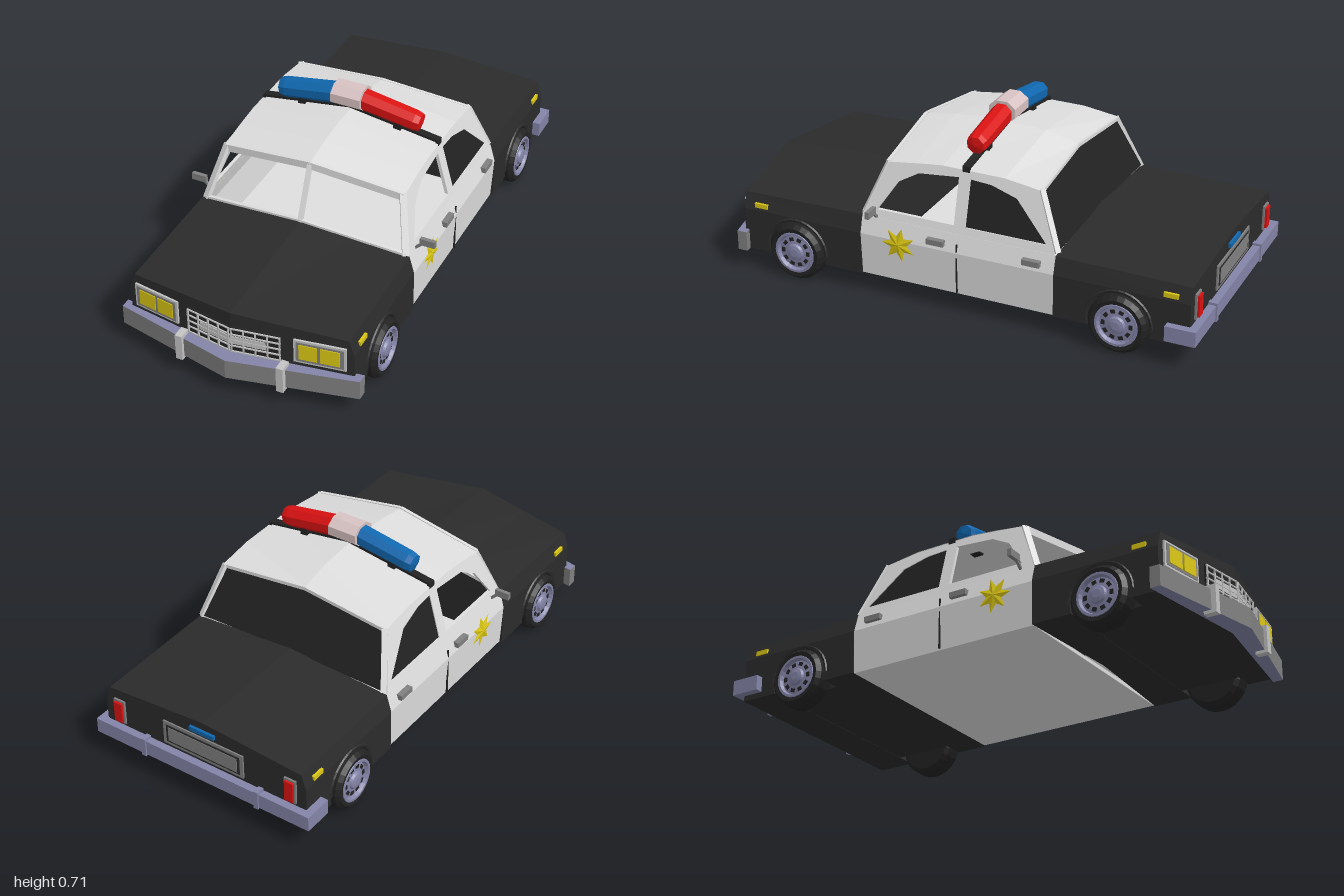
import * as THREE from 'three';

const mat = (name, color, side = THREE.FrontSide) => {
  const m = new THREE.MeshStandardMaterial({ color, side });
  m.name = name;
  return m;
};

export function createModel() {
  const car = new THREE.Group();
  car.name = 'patrolCar';
  const black = mat('black paint', 0x2b2b2b);
  const white = mat('white paint', 0xdedede, THREE.DoubleSide);
  const dark = mat('dark glass and rubber', 0x222222, THREE.DoubleSide);
  const chrome = mat('chrome', 0xc4c4c4);
  const gray = mat('gray metal', 0x808080);
  const steel = mat('blue steel', 0x8484a8);
  const yellow = mat('yellow', 0xdcc814);
  const red = mat('red', 0xdc1212);
  const blue = mat('blue', 0x1068b0);
  const pink = mat('pale lamp', 0xd8c2c2);

  const add = (name, geo, material, parent = car) => {
    const g = geo.index ? geo.toNonIndexed() : geo;
    g.computeVertexNormals(); // faceted look
    const m = new THREE.Mesh(g, material);
    m.name = name;
    parent.add(m);
    return m;
  };
  const box = (name, w, h, d, x, y, z, material, parent) => {
    const m = add(name, new THREE.BoxGeometry(w, h, d), material, parent);
    m.position.set(x, y, z);
    return m;
  };
  const bar = (name, a, b, w, h, material) => {
    const p = new THREE.Vector3(...a), q = new THREE.Vector3(...b);
    const m = add(name, new THREE.BoxGeometry(w, h, p.distanceTo(q)), material);
    m.position.copy(p).lerp(q, 0.5);
    m.lookAt(q);
    return m;
  };
  const warp = (geo, rule) => {
    const p = geo.attributes.position, v = new THREE.Vector3();
    for (let i = 0; i < p.count; i++) {
      rule(v.fromBufferAttribute(p, i));
      p.setXYZ(i, v.x, v.y, v.z);
    }
    return geo;
  };
  const poly = pts => new THREE.Shape(pts.map(p => new THREE.Vector2(...p)));
  // Side profile (z, y) stretched across x
  const across = (shape, width, steps = 1) =>
    new THREE.ExtrudeGeometry(shape, { depth: width, steps, bevelEnabled: false, curveSegments: 12 })
      .translate(0, 0, -width / 2).rotateY(-Math.PI / 2);
  // Surface through rows of points, front to rear
  const surface = rows => {
    const n = rows[0].length, idx = [];
    for (let r = 0; r < rows.length - 1; r++) for (let c = 0; c < n - 1; c++) {
      const a = r * n + c;
      idx.push(a, a + 1, a + n, a + 1, a + n + 1, a + n);
    }
    const g = new THREE.BufferGeometry();
    g.setAttribute('position', new THREE.Float32BufferAttribute(rows.flat(2), 3));
    g.setIndex(idx);
    return g;
  };

  // Black front and rear bodywork with pointed nose and crowned top
  const bodyRule = v => {
    const t = Math.abs(v.x) / 0.45, nose = v.z > 0.8;
    if (v.y > 0.26) {
      v.y += (nose ? 0.025 : v.z > 0 ? 0.045 : 0.03) * (1 - t);
      v.x *= 0.955;
    }
    if (nose) v.z += 0.07 * (1 - t);
    else if (v.z > 0.3 && v.z < 0.4) v.z += 0.03 * (1 - t);
  };
  const axles = [0.64, -0.685];
  [['front', 0.36, 0.87, 0.32, 0.312], ['rear', -0.955, -0.43, 0.31, 0.318]].forEach(([name, z0, z1, y0, y1], i) => {
    const zc = axles[i];
    const lower = new THREE.Shape();
    lower.moveTo(z0, 0.08);
    lower.lineTo(zc - 0.12, 0.08);
    lower.absarc(zc, 0.115, 0.125, Math.PI + 0.28, -0.28, true);
    lower.lineTo(z1, 0.08);
    lower.lineTo(z1, 0.25);
    lower.lineTo(z0, 0.25);
    add(name + 'Fenders', warp(across(lower, 0.9, 4), bodyRule), black);
    const upper = poly([[z0, 0.25], [z1, 0.25], [z1, y1], [z0, y0]]);
    add(name + 'Deck', warp(across(upper, 0.9, 4), bodyRule), black);
    box(name + 'WheelWell', 0.74, 0.165, 0.27, 0, 0.1635, zc, black);
  });

  // White door section, an open tub
  const half = [[0.44, 0.08], [0.45, 0.25], [0.43, 0.32], [0.415, 0.32], [0.435, 0.25], [0.425, 0.095]];
  const tub = poly([...half, ...half.map(([x, y]) => [-x, y]).reverse()]);
  add('doorTub', new THREE.ExtrudeGeometry(tub, { depth: 0.79, bevelEnabled: false }).translate(0, 0, -0.43), white);

  // Cabin sides with window openings
  const sideFrame = poly([[0.36, 0.31], [0.275, 0.53], [0.05, 0.557], [-0.2, 0.555], [-0.34, 0.535], [-0.43, 0.31]]);
  const frontWindow = [[0.3, 0.35], [0.225, 0.465], [0.145, 0.51], [-0.018, 0.525], [-0.018, 0.35]];
  const rearWindow = [[-0.065, 0.35], [-0.065, 0.525], [-0.15, 0.52], [-0.255, 0.49], [-0.39, 0.35]];
  sideFrame.holes.push(poly(frontWindow), poly(rearWindow));
  for (const s of [1, -1]) {
    const lean = v => { v.x += s * (0.425 - (v.y - 0.31) * 0.27); };
    add('cabinSide', warp(across(sideFrame, 0.014), lean), white);
    add('rearSideWindow', warp(across(poly(rearWindow), 0.006), lean), dark);
  }

  // Roof: each row is z, y at the edge and z, y at the ridge
  const row = ([ze, ye, zc, yc], w) => [[-w, ye, ze], [0, yc, zc], [w, ye, ze]];
  const roof = [[0.275, 0.53, 0.305, 0.575], [0.16, 0.546, 0.18, 0.595], [0.05, 0.557, 0.05, 0.606],
    [-0.2, 0.555, -0.2, 0.598], [-0.345, 0.535, -0.33, 0.567]];
  add('roof', surface(roof.map(r => row(r, 0.37))), white);
  add('rearWindow', surface([row([-0.345, 0.533, -0.332, 0.563], 0.362), row([-0.435, 0.33, -0.435, 0.342], 0.412)]), dark);
  bar('windshieldPost', [0, 0.36, 0.392], [0, 0.572, 0.303], 0.018, 0.014, white);
  for (const s of [1, -1]) {
    bar('frontPillar', [s * 0.415, 0.32, 0.36], [s * 0.362, 0.53, 0.275], 0.026, 0.016, white);
    bar('windshieldTopRail', [s * 0.365, 0.518, 0.278], [0, 0.565, 0.305], 0.014, 0.03, white);
    bar('windshieldSill', [s * 0.415, 0.325, 0.36], [0, 0.367, 0.39], 0.014, 0.012, white);
    bar('rearPillar', [s * 0.418, 0.325, -0.433], [s * 0.362, 0.535, -0.345], 0.022, 0.014, white);
    bar('rearTopRail', [s * 0.365, 0.53, -0.345], [0, 0.562, -0.332], 0.012, 0.014, white);
  }

  // Front bumper, a chevron with blue steel top and bottom
  const chevron = poly([[0, -0.995], [0.48, -0.89], [0.48, -0.85], [0, -0.92], [-0.48, -0.85], [-0.48, -0.89]]);
  add('frontBumper', new THREE.ExtrudeGeometry(chevron, { depth: 0.08, bevelEnabled: false })
    .rotateX(-Math.PI / 2).translate(0, 0.08, 0), [steel, gray]);

  // Grille and headlights, each half lying on the slanted nose
  for (const s of [1, -1]) {
    const nose = new THREE.Group();
    nose.name = 'noseHalf';
    nose.position.z = 0.94;
    nose.rotation.y = s * 0.154;
    car.add(nose);
    const plate = (name, x, y, w, h, z, m) => box(name, w, h, 0.008, s * x, y, z, m, nose);
    plate('grilleBack', 0.094, 0.223, 0.188, 0.112, 0.003, dark);
    for (let i = 0; i < 5; i++) plate('grilleSlat', 0.094, 0.172 + i * 0.0255, 0.188, 0.005, 0.008, chrome);
    for (let i = 0; i < 5; i++) plate('grilleRib', 0.004 + i * 0.045, 0.223, 0.005, 0.107, 0.009, chrome);
    plate('grilleCenter', 0.066, 0.223, 0.132, 0.034, 0.006, chrome);
    plate('headlightFrame', 0.331, 0.23, 0.194, 0.1, 0.004, chrome);
    plate('headlightRecess', 0.331, 0.23, 0.176, 0.084, 0.006, gray);
    plate('headlightInner', 0.288, 0.231, 0.068, 0.064, 0.009, yellow);
    plate('headlightOuter', 0.369, 0.231, 0.072, 0.064, 0.009, yellow);
    box('bumperGuard', 0.028, 0.108, 0.05, s * 0.203, 0.122, 0.942, chrome);
  }

  // Rear bumper, lamps and plate
  box('rearBumper', 0.96, 0.06, 0.03, 0, 0.132, -0.972, steel);
  box('plateFrame', 0.36, 0.1, 0.008, 0, 0.225, -0.957, gray);
  box('plateBorder', 0.33, 0.075, 0.008, 0, 0.225, -0.959, black);
  box('plateField', 0.31, 0.06, 0.008, 0, 0.225, -0.961, gray);
  box('trunkBadge', 0.11, 0.018, 0.012, 0, 0.3, -0.96, blue);
  for (const s of [1, -1]) {
    box('bumperEnd', 0.035, 0.06, 0.11, s * 0.463, 0.132, -0.925, steel);
    box('rearGuard', 0.02, 0.075, 0.035, s * 0.255, 0.134, -0.975, steel);
    box('tailLightFrame', 0.05, 0.1, 0.012, s * 0.385, 0.223, -0.957, gray);
    box('tailLight', 0.036, 0.085, 0.024, s * 0.385, 0.223, -0.96, red);
  }

  // Details of each side
  for (const s of [1, -1]) {
    box('frontMarker', 0.012, 0.018, 0.055, s * 0.445, 0.27, 0.795, yellow);
    box('rearMarker', 0.012, 0.018, 0.055, s * 0.445, 0.27, -0.88, yellow);
    for (const z of [0.045, -0.342]) box('doorHandle', 0.025, 0.022, 0.07, s * 0.448, 0.28, z, gray);
    box('doorSeam', 0.006, 0.2, 0.005, s * 0.446, 0.185, -0.04, dark);
    bar('mirrorStalk', [s * 0.425, 0.32, 0.3], [s * 0.46, 0.352, 0.3], 0.01, 0.01, gray);
    box('mirror', 0.06, 0.028, 0.016, s * 0.476, 0.358, 0.3, gray);
    // Raised seven-pointed star
    const star = new THREE.ConeGeometry(0.07, 0.009, 14, 1, true);
    warp(star, v => {
      const k = Math.round(Math.atan2(v.x, v.z) / (Math.PI / 7));
      if (k & 1) { v.x *= 0.5; v.z *= 0.5; }
    });
    const badge = add('doorStar', star, yellow);
    badge.rotation.z = -s * Math.PI / 2;
    badge.position.set(s * 0.4545, 0.235, 0.2);
  }

  // Wheels
  const lathe = (pts, n) => new THREE.LatheGeometry(pts.map(p => new THREE.Vector2(...p)), n);
  for (const z of axles) for (const s of [1, -1]) {
    const wheel = new THREE.Group();
    wheel.name = 'wheel';
    wheel.position.set(s * 0.43, 0.115, z);
    wheel.rotation.z = -s * Math.PI / 2;
    car.add(wheel);
    add('tyre', lathe([[0, -0.045], [0.1, -0.045], [0.115, -0.03], [0.115, 0.03], [0.1, 0.045], [0.08, 0.042]], 24), dark, wheel);
    add('rim', lathe([[0.085, 0.04], [0.083, 0.046], [0.074, 0.046], [0.068, 0.032], [0.035, 0.037],
      [0.03, 0.046], [0.016, 0.05], [0, 0.05]], 24), steel, wheel);
    for (let i = 0; i < 10; i++) {
      const a = i * Math.PI / 5;
      const slot = box('rimSlot', 0.018, 0.006, 0.014, 0.053 * Math.sin(a), 0.034, 0.053 * Math.cos(a), dark, wheel);
      slot.rotation.y = a;
    }
    const lip = add('archLip', new THREE.TorusGeometry(0.127, 0.008, 5, 16, Math.PI), black);
    lip.rotation.y = Math.PI / 2;
    lip.position.set(s * 0.448, 0.115, z);
  }

  // Roof rack and light bar
  const zBar = -0.045;
  for (const s of [1, -1]) {
    bar('rackRail', [0, 0.621, zBar], [s * 0.368, 0.566, zBar], 0.03, 0.01, dark);
    box('rackFoot', 0.012, 0.02, 0.03, s * 0.364, 0.558, zBar, dark);
    box('lampMount', 0.03, 0.03, 0.04, s * 0.2, 0.588, zBar, dark);
    const lamp = add('beaconLamp', lathe([[0, 0], [0.043, 0], [0.041, 0.215], [0.036, 0.238], [0, 0.246]], 8)
      .rotateY(Math.PI / 8).rotateZ(-Math.PI / 2), s > 0 ? red : blue);
    lamp.rotation.set(0, s > 0 ? 0 : Math.PI, -s * 0.16);
    // Tilt outward and down on both sides
    lamp.rotation.z = -0.16;
    lamp.position.set(s * 0.056, 0.661, zBar);
  }
  const hub = add('beaconCenter', new THREE.CylinderGeometry(0.047, 0.047, 0.122, 8)
    .rotateY(Math.PI / 8).rotateZ(Math.PI / 2), pink);
  hub.scale.z = 1.25;
  hub.position.set(0, 0.667, zBar);
  return car;
}
